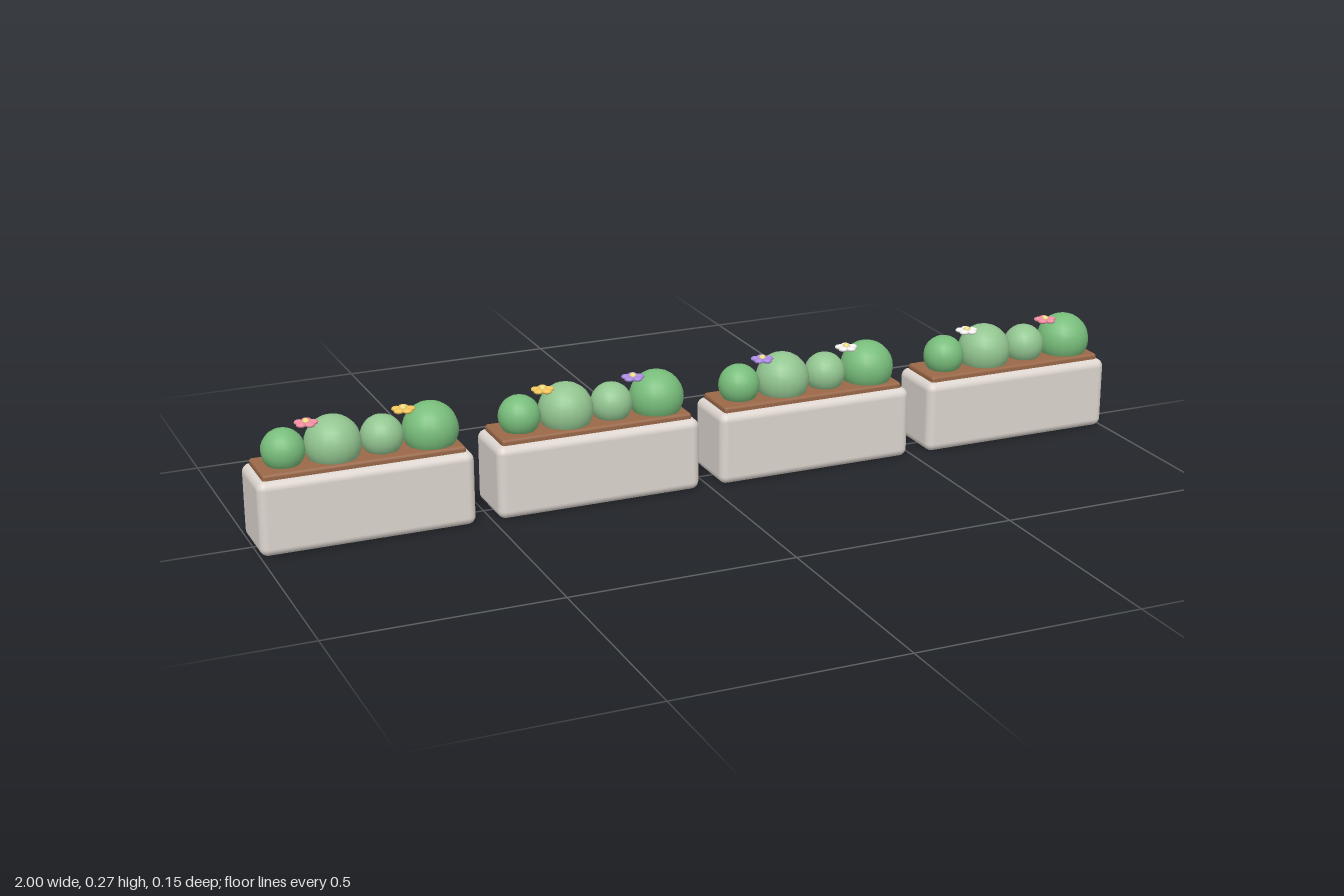
import * as THREE from 'three';
import { RoundedBoxGeometry } from 'three/addons/geometries/RoundedBoxGeometry.js';

const material = (color) => new THREE.MeshStandardMaterial({ color });
const stone = material(0xddd5cf);
const earth = material(0x9a6848);
const leafDark = material(0x78bd7b);
const leafLight = material(0x92c590);
const pollen = material(0xf0dc82);
const pink = material(0xf08ca0);
const yellow = material(0xf2c45a);
const purple = material(0xab8ae0);
const white = material(0xf2f0ee);

const boxGeometry = new RoundedBoxGeometry(0.463, 0.162, 0.146, 4, 0.018);
const soilGeometry = new RoundedBoxGeometry(0.433, 0.04, 0.116, 2, 0.006);
const bushGeometry = new THREE.SphereGeometry(1, 18, 14);
const petalGeometry = new THREE.SphereGeometry(0.011, 10, 8).scale(1, 0.5, 1);
const centreGeometry = new THREE.SphereGeometry(0.008, 10, 8);

function part(name, geometry, mat, x, y, z) {
  const mesh = new THREE.Mesh(geometry, mat);
  mesh.name = name;
  mesh.position.set(x, y, z);
  return mesh;
}

// Five flat petals around a small round centre
function flower(mat, x) {
  const group = new THREE.Group();
  group.name = 'flower';
  group.position.set(x, 0.262, 0.023);
  for (let i = 0; i < 5; i++) {
    const a = (i / 5) * Math.PI * 2;
    group.add(part('petal', petalGeometry, mat, Math.cos(a) * 0.015, 0, Math.sin(a) * 0.015));
  }
  group.add(part('flowerCentre', centreGeometry, pollen, 0, 0.002, 0));
  return group;
}

function planter(x, flowerA, flowerB) {
  const group = new THREE.Group();
  group.name = 'planter';
  group.position.x = x;
  group.add(part('planterBox', boxGeometry, stone, 0, 0.081, 0));
  group.add(part('soil', soilGeometry, earth, 0, 0.154, 0));

  // Row of alternating small and large round bushes
  const bushes = [[0.046, leafDark], [0.06, leafLight], [0.046, leafLight], [0.06, leafDark]];
  bushes.forEach(([radius, mat], i) => {
    const bush = part('bush', bushGeometry, mat, (i - 1.5) * 0.105, 0.203, 0);
    bush.scale.setScalar(radius);
    group.add(bush);
  });

  group.add(flower(flowerA, -0.112), flower(flowerB, 0.094));
  return group;
}

export function createModel() {
  const model = new THREE.Group();
  model.name = 'planterRow';
  const colors = [pink, yellow, purple, white];
  for (let i = 0; i < 4; i++) {
    model.add(planter((i - 1.5) * 0.5123, colors[i], colors[(i + 1) % 4]));
  }
  return model;
}
